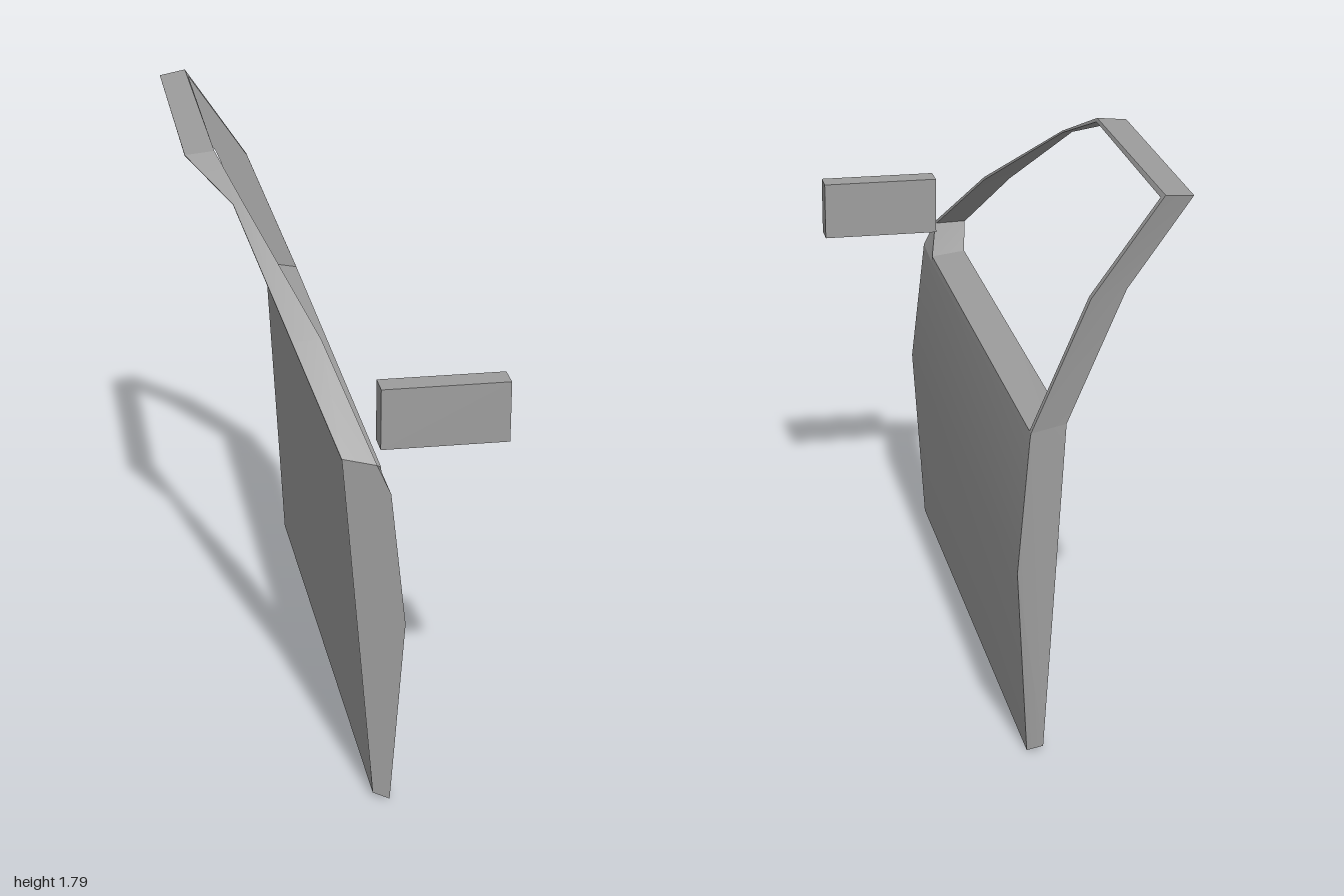
import * as THREE from 'three';
import { toCreasedNormals } from 'three/addons/utils/BufferGeometryUtils.js';

const material = new THREE.MeshStandardMaterial({ color: 0x9d9d9d });

// Skin a row of matching closed loops and cap both ends.
// Each loop runs counter-clockwise seen from the far end of the row.
function loft(name, loops) {
  const n = loops[0].length;
  const pos = [];
  const tri = (a, b, c) => pos.push(...a, ...b, ...c);
  for (let i = 0; i < loops.length - 1; i++) {
    const s = loops[i], t = loops[i + 1];
    for (let j = 0; j < n; j++) {
      const k = (j + 1) % n;
      tri(s[j], s[k], t[k]);
      tri(s[j], t[k], t[j]);
    }
  }
  const first = loops[0], last = loops[loops.length - 1];
  for (let j = 1; j < n - 1; j++) {
    tri(first[0], first[j + 1], first[j]);
    tri(last[0], last[j], last[j + 1]);
  }
  const geometry = new THREE.BufferGeometry();
  geometry.setAttribute('position', new THREE.Float32BufferAttribute(pos, 3));
  const mesh = new THREE.Mesh(toCreasedNormals(geometry, 0.3), material);
  mesh.name = name;
  return mesh;
}

export function createModel() {
  const door = new THREE.Group();
  door.name = 'carDoor';

  // Door panel: rear edge, foot of the window corner, slanted front edge.
  // Loop: inner bottom, outer bottom, waist, shoulder, outer sill, inner sill.
  const rear = [
    [0.005, 0.015, -0.943], [0.055, 0, -0.934], [0.095, 0.62, -0.974],
    [0.053, 1.04, -0.946], [0.05, 1.06, -0.945], [-0.06, 1.08, -0.936],
  ];
  const corner = [
    [0.005, 0.015, 0.8], [0.055, 0, 0.8], [0.095, 0.62, 0.8],
    [0.053, 1.04, 0.8], [0.05, 1.06, 0.8], [-0.065, 1.075, 0.8],
  ];
  const front = [
    [0.005, 0.015], [0.055, 0], [0.095, 0.62], [0.05, 1.05], [0.01, 1.14], [-0.09, 1.15],
  ].map(([x, y]) => [x, y, 0.961 + 0.39 * x]);
  door.add(loft('doorPanel', [rear, corner, front]));

  // Window frame, a wedge section from the front corner over the top to the rear sill.
  // Section: outer edge, outer and inner edge on the opening side, inner edge.
  door.add(loft('windowFrame', [
    [[0.01, 1.14, 0.965], [0.01, 1.13, 0.96], [-0.09, 1.145, 0.926], [-0.09, 1.15, 0.926]],
    [[-0.1, 1.402, 0.6], [-0.1, 1.393, 0.597], [-0.19, 1.394, 0.597], [-0.19, 1.398, 0.6]],
    [[-0.272, 1.684, 0.13], [-0.272, 1.678, 0.128], [-0.305, 1.679, 0.128], [-0.305, 1.682, 0.13]],
    [[-0.335, 1.784, -0.1], [-0.332, 1.772, -0.103], [-0.43, 1.772, -0.103], [-0.43, 1.775, -0.1]],
    [[-0.33, 1.79, -1.0], [-0.322, 1.776, -0.972], [-0.418, 1.776, -0.972], [-0.42, 1.779, -0.98]],
    [[-0.12, 1.48, -0.975], [-0.12, 1.48, -0.95], [-0.23, 1.5, -0.952], [-0.23, 1.5, -0.962]],
    [[0.05, 1.06, -0.945], [0.05, 1.06, -0.923], [-0.06, 1.08, -0.925], [-0.06, 1.08, -0.936]],
  ]));

  // Side mirror block
  const mirror = new THREE.Mesh(new THREE.BoxGeometry(0.395, 0.195, 0.08), material);
  mirror.name = 'sideMirror';
  mirror.position.set(0.2325, 1.2475, 0.84);
  door.add(mirror);

  return door;
}
